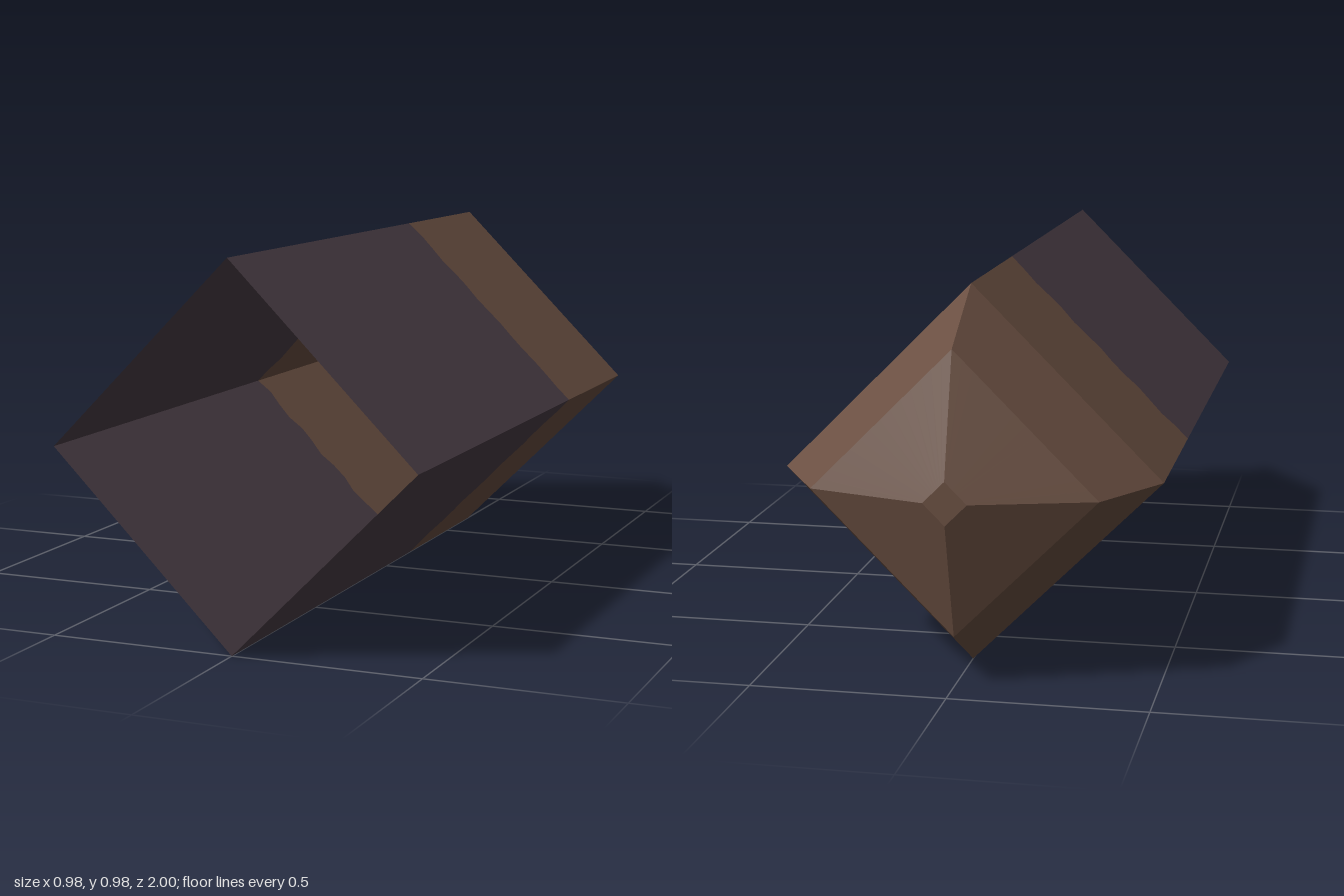
import * as THREE from 'three';

const STEPS = 14; // points along each side of the diamond
const R = 0.488; // half diagonal

// Diamond ring, counterclockwise seen from the front; z may vary around it
function ring(r, zAt) {
  const corners = [[r, 0], [0, r], [-r, 0], [0, -r]];
  const points = [];
  for (let s = 0; s < 4; s++) {
    const a = corners[s], b = corners[(s + 1) % 4];
    for (let i = 0; i < STEPS; i++) {
      const t = i / STEPS;
      points.push([a[0] + (b[0] - a[0]) * t, R + a[1] + (b[1] - a[1]) * t, zAt(s * STEPS + i)]);
    }
  }
  return points;
}

// Flat-faced skin joining rings listed from front to back
function skin(rings) {
  const pos = [];
  for (let k = 0; k + 1 < rings.length; k++) {
    const a = rings[k], b = rings[k + 1];
    for (let i = 0; i < a.length; i++) {
      const j = (i + 1) % a.length;
      pos.push(...a[i], ...b[i], ...a[j]);
      if (b[0][0] > 0) pos.push(...a[j], ...b[i], ...b[j]);
    }
  }
  const geo = new THREE.BufferGeometry();
  geo.setAttribute('position', new THREE.Float32BufferAttribute(pos, 3));
  geo.computeVertexNormals();
  return geo;
}

export function createModel() {
  const plum = new THREE.MeshStandardMaterial({ color: 0x4b3e46, side: THREE.DoubleSide });
  plum.name = 'dark plum';
  const brown = new THREE.MeshStandardMaterial({ color: 0x6b5042, side: THREE.DoubleSide });
  brown.name = 'warm brown';

  const group = new THREE.Group();
  group.name = 'diamondTunnel';
  const add = (name, rings, material) => {
    const mesh = new THREE.Mesh(skin(rings), material);
    mesh.name = name;
    group.add(mesh);
  };

  // Ragged line where the two colours meet
  const seam = ring(R, i => -0.18 + 0.007 * Math.sin(i * 1.9) + 0.004 * Math.sin(i * 4.3));

  // Open front tube
  add('frontTube', [ring(R, () => 1), seam], plum);

  // Rear tube tapering to a closed blunt end
  const rear = [[R, -0.69], [0.36, -0.91], [0.055, -1], [0, -1]];
  add('rearEnd', [seam, ...rear.map(([r, z]) => ring(r, () => z))], brown);

  return group;
}
